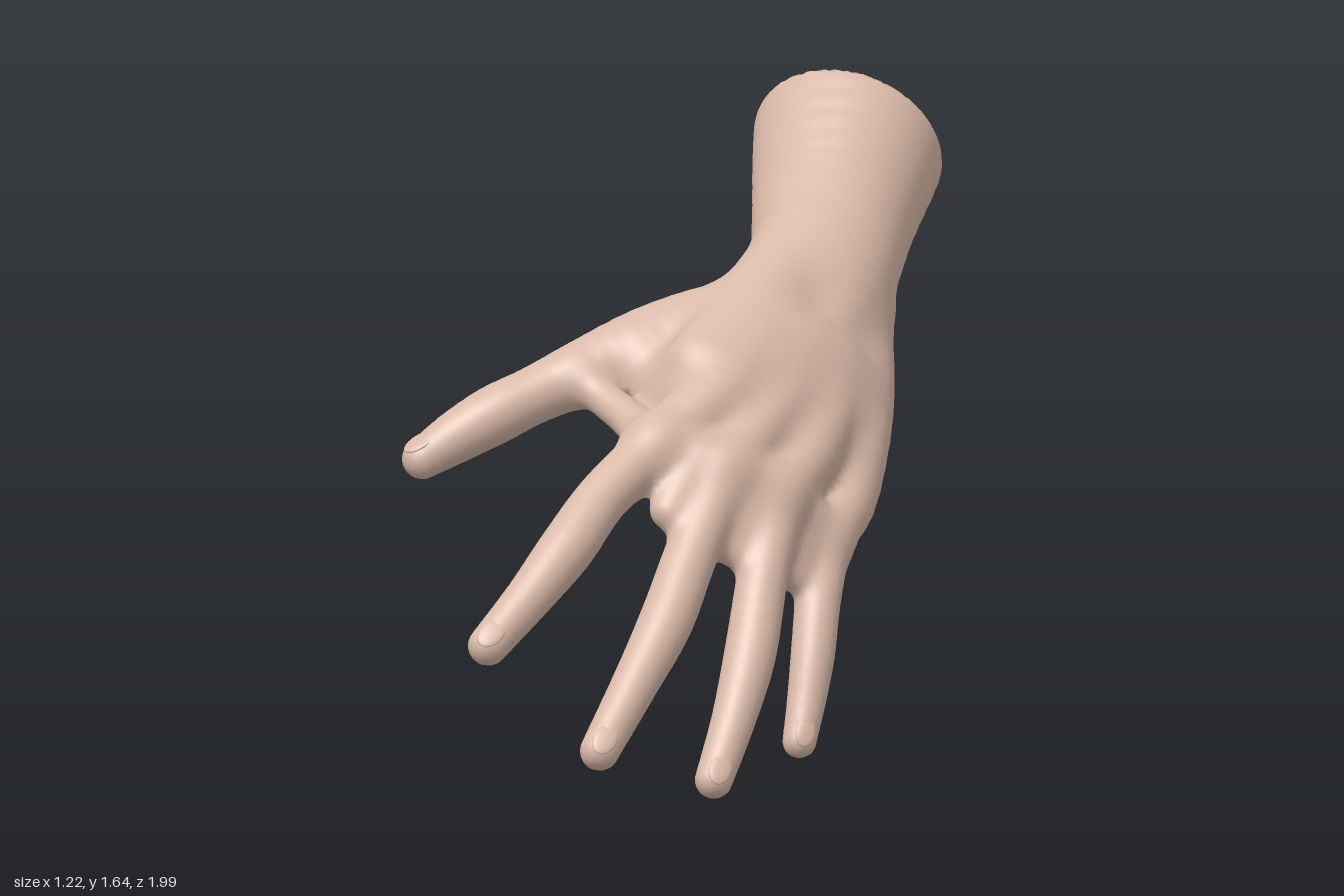
import * as THREE from 'three';
import { mergeVertices } from 'three/addons/utils/BufferGeometryUtils.js';

const skin = new THREE.MeshStandardMaterial({ color: 0xd9b9a8 });
skin.name = 'skin';

const BLEND = 0.05; // how softly neighbouring limbs flow together
const RIM = 0.025; // rounding of the cut rim
const CELL = 0.016;
const LOW = [-0.68, -0.06, -1.06];
const COUNT = [86, 112, 134];

// Limbs as chains of [x, y, z, radius]
const digits = {
  thumb: { back: [0, 0.75, 0.6], chain: [
    [-0.03, 1.08, -0.26, 0.1], [-0.085, 1.065, -0.11, 0.122], [-0.16, 1.03, 0.06, 0.11],
    [-0.225, 0.98, 0.23, 0.085], [-0.272, 0.93, 0.36, 0.073], [-0.312, 0.885, 0.46, 0.075],
    [-0.355, 0.832, 0.555, 0.066], [-0.392, 0.782, 0.632, 0.052]] },
  indexFinger: { back: [0.6, 0.64, 0.48], chain: [
    [0.162, 0.845, 0.33, 0.073], [0.173, 0.735, 0.53, 0.067], [0.198, 0.62, 0.68, 0.07],
    [0.203, 0.505, 0.82, 0.059], [0.197, 0.4, 0.948, 0.051]] },
  middleFinger: { back: [0.72, 0.52, 0.42], chain: [
    [0.277, 0.785, 0.204, 0.073], [0.33, 0.595, 0.37, 0.068], [0.38, 0.435, 0.505, 0.069],
    [0.41, 0.295, 0.638, 0.059], [0.437, 0.14, 0.785, 0.05]] },
  ringFinger: { back: [0.8, 0.45, 0.35], chain: [
    [0.337, 0.71, 0.08, 0.071], [0.41, 0.525, 0.2, 0.065], [0.477, 0.34, 0.305, 0.066],
    [0.527, 0.19, 0.408, 0.056], [0.563, 0.052, 0.508, 0.048]] },
  littleFinger: { back: [0.85, 0.4, 0.3], chain: [
    [0.355, 0.588, -0.068, 0.065], [0.425, 0.435, 0.025, 0.058], [0.462, 0.315, 0.075, 0.056],
    [0.488, 0.2, 0.122, 0.049], [0.508, 0.11, 0.163, 0.043]] },
};
const forearm = [
  [-0.46, 1.505, -0.925, 0.252], [-0.385, 1.435, -0.83, 0.244], [-0.235, 1.295, -0.64, 0.209],
  [-0.065, 1.15, -0.44, 0.182], [0.05, 1.0, -0.28, 0.15]];
const palm = [
  // hand bones from wrist to knuckles
  [[0.07, 1.04, -0.142, 0.125], [0.143, 0.939, 0.116, 0.1], [0.162, 0.845, 0.33, 0.073]],
  [[0.11, 0.994, -0.198, 0.125], [0.205, 0.868, 0.03, 0.1], [0.277, 0.785, 0.204, 0.073]],
  [[0.137, 0.933, -0.258, 0.125], [0.26, 0.782, -0.066, 0.098], [0.337, 0.71, 0.08, 0.071]],
  [[-0.02, 1.07, -0.48, 0.12], [0.15, 0.865, -0.33, 0.118], [0.28, 0.662, -0.19, 0.088],
    [0.355, 0.588, -0.068, 0.065]],
  // thumb side of the wrist and back of the hand
  [[-0.1, 1.21, -0.42, 0.14], [-0.015, 1.12, -0.2, 0.13], [0.06, 1.0, 0.08, 0.11]],
  // soft pad of the palm
  [[0.02, 0.9, -0.12, 0.1], [0.1, 0.78, 0.08, 0.075], [0.21, 0.69, 0.18, 0.055]],
  // webs between the fingers
  [[0.235, 0.81, 0.27, 0.066], [0.257, 0.695, 0.385, 0.045]],
  [[0.318, 0.742, 0.14, 0.066], [0.35, 0.59, 0.25, 0.038]],
  [[0.352, 0.642, 0.0, 0.06], [0.393, 0.51, 0.088, 0.034]],
  // web between thumb and index finger
  [[-0.12, 0.99, 0.1, 0.085], [0.06, 0.9, 0.13, 0.09]],
  [[-0.21, 0.975, 0.27, 0.045], [-0.1, 0.92, 0.26, 0.045], [0.02, 0.875, 0.28, 0.048],
    [0.12, 0.84, 0.34, 0.055]],
];
// Flat cut at the end of the forearm
const cutPoint = new THREE.Vector3(-0.393, 1.443, -0.843);
const cutNormal = new THREE.Vector3(-0.43, 0.5, -0.75).normalize();

// Resample a chain along a smooth curve and find its bounding sphere.
function makeLimb(part, chain) {
  const path = new THREE.CatmullRomCurve3(chain.map((s) => new THREE.Vector3(s[0], s[1], s[2])));
  const radii = new THREE.CatmullRomCurve3(chain.map((s, i) => new THREE.Vector3(s[3], i, 0)));
  const steps = (chain.length - 1) * 4;
  const points = [];
  for (let i = 0; i <= steps; i++) {
    const p = path.getPoint(i / steps);
    points.push([p.x, p.y, p.z, radii.getPoint(i / steps).x]);
  }
  const sphere = new THREE.Sphere().setFromPoints(path.getPoints(steps));
  return { part, points, c: sphere.center, reach: sphere.radius + Math.max(...chain.map((s) => s[3])) };
}

// Distance to a chain of tapering round segments
function limbDistance({ points }, x, y, z) {
  let best = Infinity;
  for (let i = 1; i < points.length; i++) {
    const a = points[i - 1], b = points[i];
    const dx = b[0] - a[0], dy = b[1] - a[1], dz = b[2] - a[2];
    const px = x - a[0], py = y - a[1], pz = z - a[2];
    let t = (px * dx + py * dy + pz * dz) / (dx * dx + dy * dy + dz * dz);
    t = Math.min(1, Math.max(0, t));
    const ex = px - dx * t, ey = py - dy * t, ez = pz - dz * t;
    best = Math.min(best, Math.sqrt(ex * ex + ey * ey + ez * ez) - a[3] - (b[3] - a[3]) * t);
  }
  return best;
}

// Softly blended distance to all limbs, and the part that is nearest
function sample(limbs, x, y, z) {
  let d = Infinity, nearest = Infinity, part = '';
  for (const limb of limbs) {
    const dx = x - limb.c.x, dy = y - limb.c.y, dz = z - limb.c.z;
    const far = Math.sqrt(dx * dx + dy * dy + dz * dz) - limb.reach;
    if (far > 0.1) { d = Math.min(d, far); continue; }
    const e = limbDistance(limb, x, y, z);
    if (e < nearest) { nearest = e; part = limb.part; }
    const h = Math.max(0, BLEND - Math.abs(d - e));
    d = Math.min(d, e) - (h * h) / (4 * BLEND);
  }
  const cut = (x - cutPoint.x) * cutNormal.x + (y - cutPoint.y) * cutNormal.y + (z - cutPoint.z) * cutNormal.z;
  const h = Math.max(0, RIM - Math.abs(d - cut));
  return { d: Math.max(d, cut) + (h * h) / (4 * RIM), part };
}

// Skin the blended limbs on a grid: one vertex per crossed cell, one quad per crossed edge.
function makeSkin(limbs) {
  const [nx, ny, nz] = COUNT;
  const stride = [1, nx, nx * ny];
  const field = new Float32Array(nx * ny * nz).fill(1);
  const at = (p) => p[0] + p[1] * stride[1] + p[2] * stride[2];
  const eachCell = (start, fn) => {
    for (let k = start; k < nz - 1; k++)
      for (let j = start; j < ny - 1; j++)
        for (let i = start; i < nx - 1; i++) fn([i, j, k]);
  };
  eachCell(0, (p) => {
    field[at(p)] = sample(limbs, ...p.map((n, a) => LOW[a] + n * CELL)).d;
  });

  const pos = [], normals = [], parts = [];
  const vertexOf = new Int32Array(field.length).fill(-1);
  const corners = [0, 1, 2, 3, 4, 5, 6, 7].map((c) => [c & 1, (c >> 1) & 1, c >> 2]);
  const cornerStep = corners.map(at);
  eachCell(0, (p) => {
    const id = at(p);
    const v = cornerStep.map((s) => field[id + s]);
    const inside = v.filter((d) => d < 0).length;
    if (inside === 0 || inside === 8) return;
    const sum = [0, 0, 0];
    let n = 0;
    for (let c = 0; c < 8; c++) for (let a = 0; a < 3; a++) {
      const e = c | (1 << a);
      if (e === c || (v[c] < 0) === (v[e] < 0)) continue;
      const t = v[c] / (v[c] - v[e]);
      for (let b = 0; b < 3; b++) sum[b] += corners[c][b] + (b === a ? t : 0);
      n++;
    }
    const q = p.map((g, a) => LOW[a] + (g + sum[a] / n) * CELL);
    const slope = [0, 1, 2].map((a) => {
      const step = (s) => sample(limbs, ...q.map((w, b) => w + (a === b ? s : 0))).d;
      return step(0.014) - step(-0.014);
    });
    const normal = new THREE.Vector3(...slope).normalize();
    const { d, part } = sample(limbs, ...q);
    vertexOf[id] = parts.length;
    parts.push(part);
    // settle the vertex onto the true surface
    pos.push(q[0] - normal.x * d, q[1] - normal.y * d, q[2] - normal.z * d);
    normals.push(normal.x, normal.y, normal.z);
  });

  const faces = {};
  eachCell(1, (p) => {
    const id = at(p);
    for (let a = 0; a < 3; a++) {
      const inside = field[id] < 0;
      if (inside === field[id + stride[a]] < 0) continue;
      const u = stride[(a + 1) % 3], w = stride[(a + 2) % 3];
      const quad = [id - u - w, id - w, id, id - u].map((c) => vertexOf[c]);
      const list = (faces[parts[quad[2]]] ??= []);
      if (!inside) quad.reverse();
      list.push(quad[0], quad[1], quad[2], quad[0], quad[2], quad[3]);
    }
  });

  return Object.entries(faces).map(([name, index]) => {
    const geo = new THREE.BufferGeometry();
    geo.setAttribute('position', new THREE.Float32BufferAttribute(pos, 3));
    geo.setAttribute('normal', new THREE.Float32BufferAttribute(normals, 3));
    geo.setIndex(index);
    const mesh = new THREE.Mesh(mergeVertices(geo.toNonIndexed(), 1e-6), skin);
    mesh.name = name;
    return mesh;
  });
}

// Thin curved nail lying on the back of a fingertip
function makeNail(name, { chain, back }) {
  const [before, tip] = chain.slice(-2).map((s) => new THREE.Vector3(s[0], s[1], s[2]));
  const r = chain.at(-1)[3];
  const along = tip.clone().sub(before).normalize();
  const normal = new THREE.Vector3(...back);
  normal.addScaledVector(along, -normal.dot(along)).normalize();
  const side = new THREE.Vector3().crossVectors(normal, along);
  const geo = new THREE.SphereGeometry(1, 24, 14).scale(r * 0.62, 0.009, r * 0.9);
  geo.applyMatrix4(new THREE.Matrix4().makeBasis(side, normal, along));
  const mesh = new THREE.Mesh(geo, skin);
  mesh.position.copy(tip).addScaledVector(normal, r * 0.89).addScaledVector(along, -0.014);
  mesh.name = name + 'Nail';
  return mesh;
}

export function createModel() {
  const hand = new THREE.Group();
  hand.name = 'hand';
  const limbs = [makeLimb('forearm', forearm), ...palm.map((chain) => makeLimb('palm', chain))];
  for (const [name, digit] of Object.entries(digits)) {
    limbs.push(makeLimb(name, digit.chain));
    hand.add(makeNail(name, digit));
  }
  hand.add(...makeSkin(limbs));
  return hand;
}
